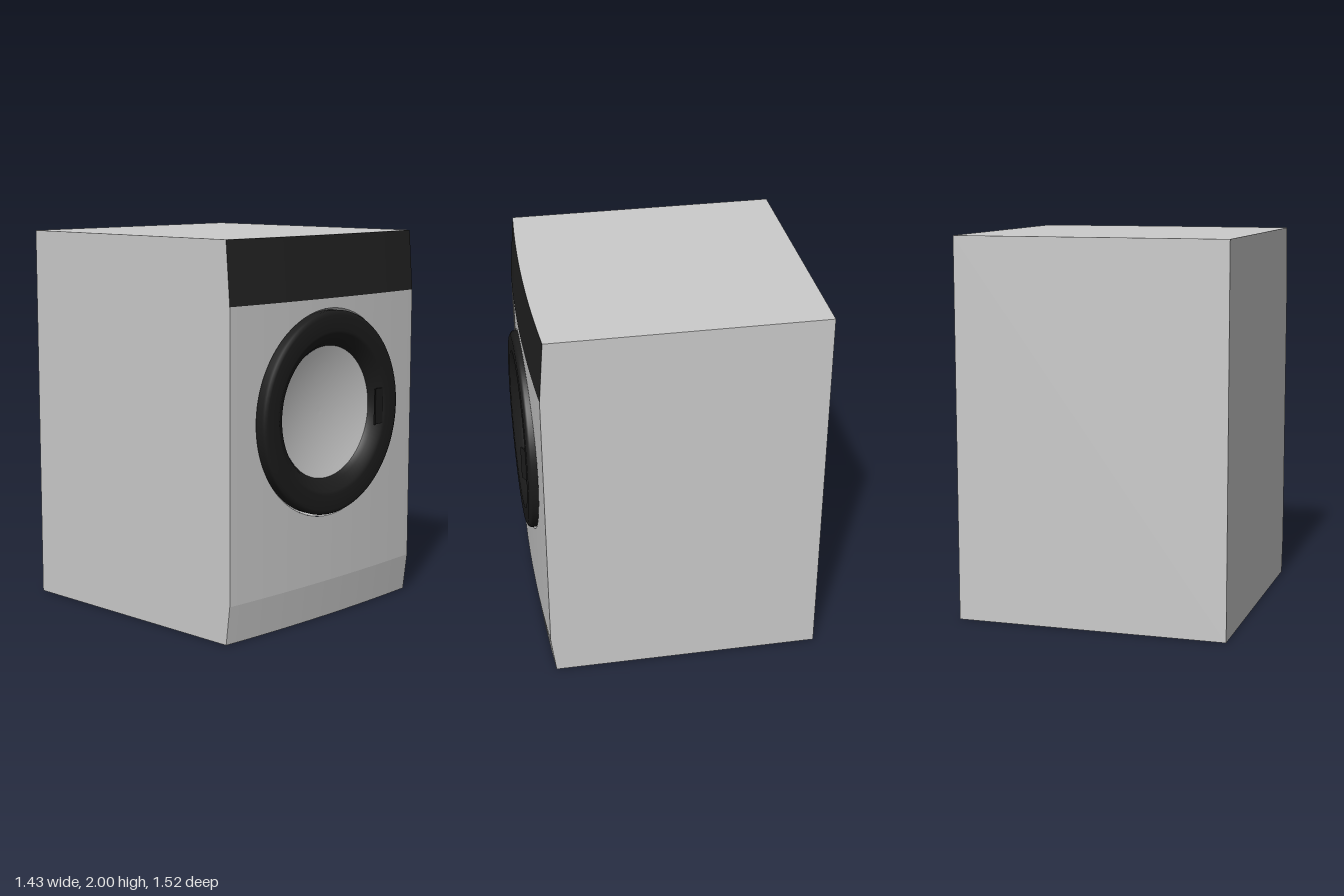
import * as THREE from 'three';
import { ParametricGeometry } from 'three/addons/geometries/ParametricGeometry.js';

const W = 0.715, BACK = -0.76, H = 2, LOW = 0.2, HIGH = 1.68, DOOR_Y = 1.09;
const lerp = THREE.MathUtils.lerp;

// Depth of the bowed front, which leans back at the top and bottom
function frontZ(x, y) {
  const lean = Math.max(0, (LOW - y) / LOW, (y - HIGH) / (H - HIGH));
  return 0.71 - 0.025 * lean - 0.025 * (x / W) ** 2;
}

export function createModel() {
  const group = new THREE.Group();
  const grey = new THREE.MeshStandardMaterial({ color: 0xcccccc });
  const black = new THREE.MeshStandardMaterial({ color: 0x222222 });
  const trim = new THREE.MeshStandardMaterial({ color: 0x1c1c1c, side: THREE.DoubleSide });
  const pale = new THREE.MeshStandardMaterial({ color: 0xe0e0e0, side: THREE.DoubleSide });

  const add = (name, geometry, material) => {
    const mesh = new THREE.Mesh(geometry, material);
    mesh.name = name;
    group.add(mesh);
    return mesh;
  };
  const surface = (name, f, nu, nv, material) =>
    add(name, new ParametricGeometry((u, v, p) => p.set(...f(u, v)), nu, nv), material);
  const frontBand = (name, y0, y1, material) => surface(name, (u, v) => {
    const x = lerp(-W, W, u), y = lerp(y0, y1, v);
    return [x, y, frontZ(x, y)];
  }, 32, 1, material);

  // Cabinet: sides in three height bands, back, top and base
  const levels = [0, LOW, HIGH, H];
  for (const s of [-1, 1]) {
    for (let i = 0; i < 3; i++) {
      surface(s > 0 ? 'leftSide' : 'rightSide', (u, v) => {
        const y = lerp(levels[i], levels[i + 1], v), z = frontZ(W, y);
        return [s * W, y, s > 0 ? lerp(z, BACK, u) : lerp(BACK, z, u)];
      }, 1, 1, grey);
    }
  }
  surface('back', (u, v) => [lerp(W, -W, u), H * v, BACK], 1, 1, grey);
  surface('top', (u, v) => {
    const x = lerp(-W, W, u);
    return [x, H, lerp(frontZ(x, H), BACK, v)];
  }, 32, 1, grey);
  surface('base', (u, v) => {
    const x = lerp(-W, W, u);
    return [x, 0, lerp(BACK, frontZ(x, 0), v)];
  }, 32, 1, grey);

  // Front: plinth, control panel, and the door panel with its round opening
  frontBand('plinth', 0, LOW, grey);
  frontBand('controlPanel', HIGH, H, black);
  const corners = [[W, LOW], [W, HIGH], [-W, HIGH], [-W, LOW], [W, LOW]];
  surface('doorPanel', (u, v) => {
    const i = Math.min(3, Math.floor(v * 4)), t = v * 4 - i;
    const ox = lerp(corners[i][0], corners[i + 1][0], t);
    const oy = lerp(corners[i][1], corners[i + 1][1], t);
    const a = Math.atan2(oy - DOOR_Y, ox);
    const x = lerp(0.54 * Math.cos(a), ox, u);
    const y = lerp(DOOR_Y + 0.54 * Math.sin(a), oy, u);
    return [x, y, frontZ(x, y)];
  }, 10, 128, grey);
  surface('openingEdge', (u, v) => {
    const a = v * Math.PI * 2, c = Math.cos(a), s = Math.sin(a);
    const r = lerp(0.52, 0.54, u), y = DOOR_Y + 0.54 * s;
    return [r * c, DOOR_Y + r * s, lerp(0.67, frontZ(0.54 * c, y), u)];
  }, 1, 96, grey);

  // Round door parts are turned about the z axis, one lathe per profile
  const turned = (name, pts, material) => {
    const g = new THREE.LatheGeometry(pts.map(p => new THREE.Vector2(...p)), 96);
    g.rotateX(Math.PI / 2).translate(0, DOOR_Y, 0);
    return add(name, g, material);
  };
  turned('doorRing', [
    [0.528, 0.67], [0.53, 0.725], [0.524, 0.735], [0.505, 0.745],
    [0.425, 0.745], [0.41, 0.737], [0.365, 0.71], [0.343, 0.68],
  ].reverse(), trim);
  const bowl = [];
  for (let i = 0; i <= 10; i++) {
    const r = 0.345 * i / 10;
    bowl.push([r, 0.64 + 0.045 * (i / 10) ** 2]);
  }
  turned('doorGlass', bowl, pale);

  // Bent grip plate on the inner edge of the ring
  const grip = new THREE.Shape();
  [[0.313, 0.76], [0.345, 0.742], [0.4, 0.742], [0.4, 0.732], [0.343, 0.732], [0.313, 0.752]]
    .forEach(([x, z], i) => (i ? grip.lineTo(x, -z) : grip.moveTo(x, -z)));
  const gripGeometry = new THREE.ExtrudeGeometry(grip, { depth: 0.19, bevelEnabled: false });
  gripGeometry.rotateX(-Math.PI / 2).translate(0, 0.99, 0);
  add('doorHandle', gripGeometry, trim);

  return group;
}
